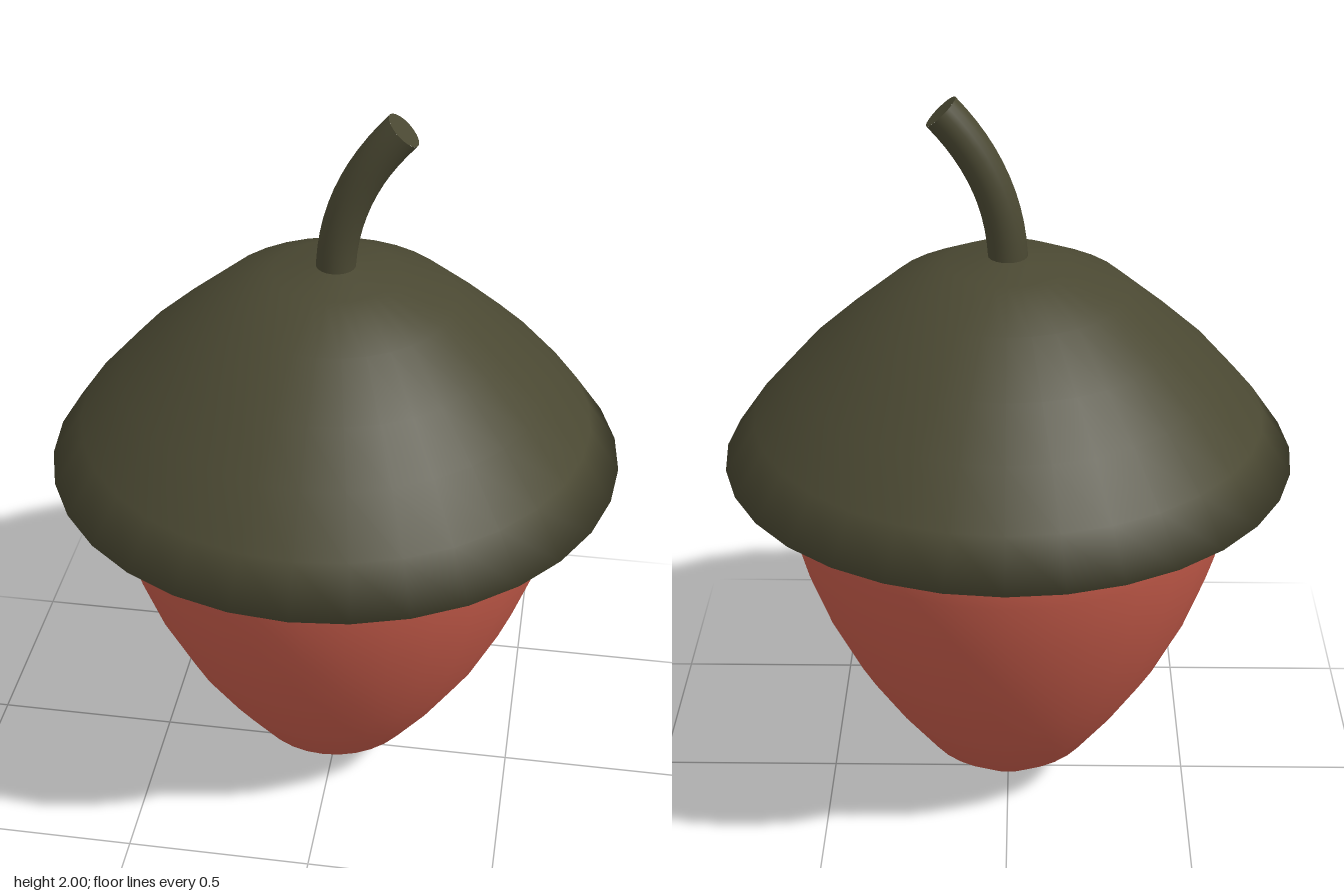
import * as THREE from 'three';

const SIDES = 32;

function lathe(name, profile, material) {
  const points = profile.map(([r, y]) => new THREE.Vector2(r, y));
  const mesh = new THREE.Mesh(new THREE.LatheGeometry(points, SIDES), material);
  mesh.name = name;
  return mesh;
}

export function createModel() {
  const model = new THREE.Group();
  model.name = 'acorn';
  const nutMaterial = new THREE.MeshStandardMaterial({ color: 0xc45a49 });
  const capMaterial = new THREE.MeshStandardMaterial({ color: 0x4a4832 });

  // Nut: pointed egg whose top is tucked inside the cap
  model.add(lathe('nut', [
    [0, 0], [0.116, 0.065], [0.233, 0.16], [0.333, 0.3], [0.423, 0.445],
    [0.503, 0.615], [0.557, 0.77], [0.593, 0.92], [0.604, 1.06], [0.55, 1.15], [0, 1.2],
  ], nutMaterial));

  // Cap: flat underside, sharp overhanging rim and domed top
  model.add(lathe('cap', [
    [0, 1.05], [0.6, 1.05], [0.74, 1.05], [0.66, 1.165], [0.55, 1.29],
    [0.435, 1.395], [0.305, 1.505], [0.16, 1.573], [0, 1.598],
  ], capMaterial));

  // Stem: bent tube leaning to the left, closed by a disc
  const radius = 0.05;
  const stem = new THREE.Group();
  stem.name = 'stem';
  const curve = new THREE.QuadraticBezierCurve3(
    new THREE.Vector3(0, 1.56, 0),
    new THREE.Vector3(0, 1.79, 0),
    new THREE.Vector3(0.163, 1.963, 0),
  );
  const shaft = new THREE.Mesh(new THREE.TubeGeometry(curve, 12, radius, 20), capMaterial);
  shaft.name = 'stemShaft';
  const end = new THREE.Mesh(new THREE.CircleGeometry(radius, 20), capMaterial);
  end.name = 'stemEnd';
  end.position.copy(curve.getPoint(1));
  end.quaternion.setFromUnitVectors(new THREE.Vector3(0, 0, 1), curve.getTangent(1));
  stem.add(shaft, end);
  model.add(stem);

  return model;
}
